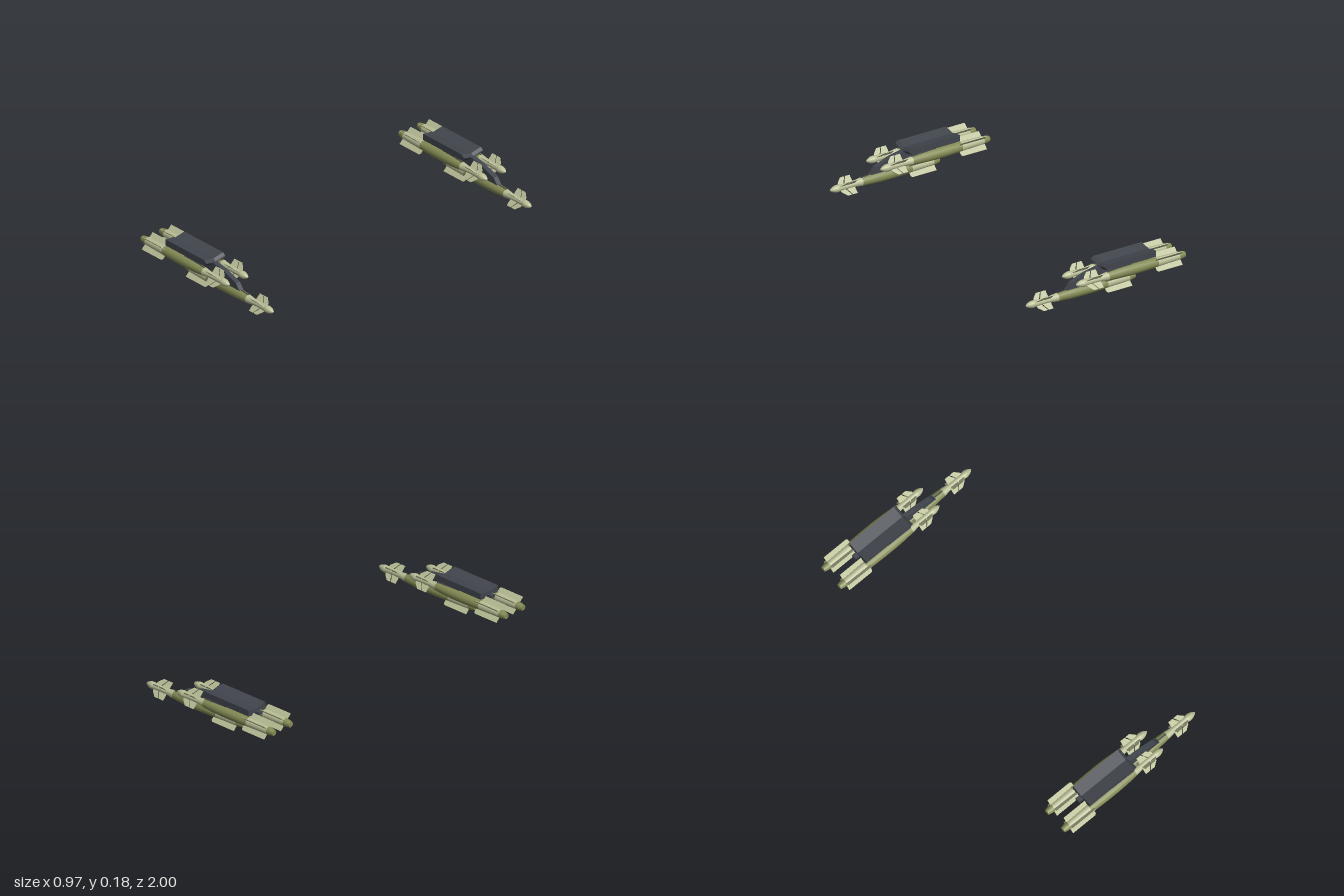
import * as THREE from 'three';

const mat = (name, color) => {
  const m = new THREE.MeshStandardMaterial({ color });
  m.name = name;
  return m;
};

export function createModel() {
  const pale = mat('pale green', 0xb9be96);
  const olive = mat('olive green', 0x838a54);
  const dark = mat('dark grey', 0x41454d);

  const add = (parent, name, geo, material) => {
    const m = new THREE.Mesh(geo, material);
    m.name = name;
    parent.add(m);
    return m;
  };

  // Side profile in x/y, extruded symmetrically about z = 0
  const plate = (pts, width, steps = 1) => {
    const shape = new THREE.Shape(pts.map(([x, y]) => new THREE.Vector2(x, y)));
    return new THREE.ExtrudeGeometry(shape, { depth: width, steps, bevelEnabled: false })
      .translate(0, 0, -width / 2);
  };

  // Body of revolution along x from [x, radius] pairs
  const turned = pts =>
    new THREE.LatheGeometry(pts.map(([x, r]) => new THREE.Vector2(r, x)), 20).rotateZ(-Math.PI / 2);

  const bodyParts = [
    ['tailCap', olive, [[-0.21, 0], [-0.21, 0.0155], [-0.2095, 0.016], [-0.19, 0.0205], [-0.17, 0.0225]]],
    ['tailSection', pale, [[-0.17, 0.0225], [-0.1, 0.0245], [-0.028, 0.0265]]],
    ['warheadBody', olive, [[-0.028, 0.0265], [0.02, 0.0285], [0.08, 0.03], [0.16, 0.03], [0.22, 0.028], [0.284, 0.0235]]],
    ['guidanceSection', pale, [[0.284, 0.0235], [0.33, 0.0175], [0.37, 0.0165], [0.42, 0.0175], [0.437, 0.0205]]],
    ['noseCone', pale, [[0.437, 0.0205], [0.45, 0.0195], [0.465, 0.015], [0.478, 0.008], [0.485, 0]]],
  ];

  const tip = 0.054;
  const finShapes = [
    ['tailFin', [[-0.172, 0.012], [-0.01, 0.012], [-0.01, 0.046], [-0.018, tip], [-0.172, tip]]],
    ['rearCanard', [[0.333, 0.012], [0.387, 0.012], [0.362, tip], [0.333, tip]]],
    ['frontCanard', [[0.394, 0.012], [0.427, 0.012], [0.42, 0.03], [0.394, tip], [0.367, tip]]],
  ];

  const makeBomb = name => {
    const bomb = new THREE.Group();
    bomb.name = name;
    for (const [part, material, pts] of bodyParts) add(bomb, part, turned(pts), material);
    // Four of each fin, set in an X
    for (const [part, pts] of finShapes) {
      const geo = plate(pts, 0.003);
      for (let i = 0; i < 4; i++) {
        add(bomb, part, geo, pale).rotation.x = Math.PI / 4 + i * Math.PI / 2;
      }
    }
    // Cable cover along the top
    add(bomb, 'cableCover', plate([[0.13, 0.025], [0.285, 0.02], [0.285, 0.0255], [0.22, 0.03], [0.13, 0.032]], 0.006), dark);
    return bomb;
  };

  const makeCluster = name => {
    const cluster = new THREE.Group();
    cluster.name = name;

    // Rack top: wedge-nosed slab folded into a shallow V
    const slab = plate([[-0.303, 0.145], [0.004, 0.145], [0.023, 0.164], [0.021, 0.169], [0.005, 0.181], [-0.303, 0.181]], 0.133, 2);
    const p = slab.attributes.position;
    for (let i = 0; i < p.count; i++) {
      p.setY(i, p.getY(i) + (Math.abs(p.getZ(i)) / 0.0665 - 1) * 0.013);
    }
    slab.computeVertexNormals();
    add(cluster, 'rackTop', slab, dark);

    // Central pylon reaching down to the lower bomb
    add(cluster, 'pylon', plate([
      [-0.33, 0.14], [-0.29, 0.125], [-0.12, 0.1], [-0.06, 0.068], [0.228, 0.068],
      [0.2, 0.103], [0.1, 0.137], [0.03, 0.15], [-0.33, 0.157],
    ], 0.028), dark);

    const lower = makeBomb('lowerBomb');
    lower.position.y = 0.0395;
    cluster.add(lower);
    for (const side of [-1, 1]) {
      const upper = makeBomb(side > 0 ? 'leftUpperBomb' : 'rightUpperBomb');
      upper.position.set(-0.277, 0.1125, side * 0.0645);
      cluster.add(upper);
    }
    return cluster;
  };

  const model = new THREE.Group();
  model.name = 'bombRacks';
  for (const side of [-1, 1]) {
    const c = makeCluster(side > 0 ? 'frontCluster' : 'backCluster');
    c.position.z = side * 0.897;
    model.add(c);
  }
  return model;
}
